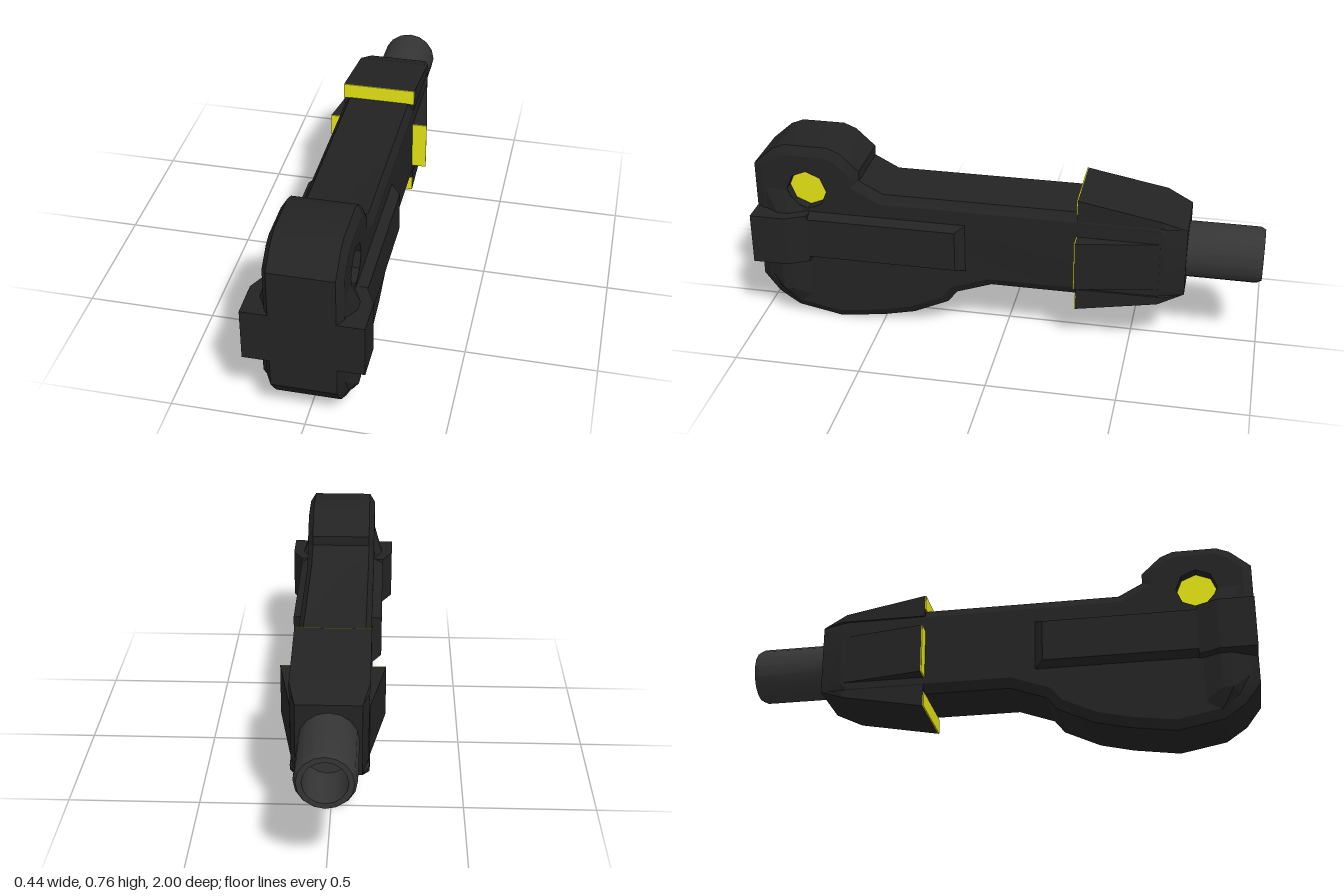
import * as THREE from 'three';
import { toCreasedNormals } from 'three/addons/utils/BufferGeometryUtils.js';
import { ConvexGeometry } from 'three/addons/geometries/ConvexGeometry.js';

const mat = (name, color) => {
  const m = new THREE.MeshStandardMaterial({ color });
  m.name = name;
  return m;
};

export function createModel() {
  const black = mat('black casing', 0x232323);
  const grey = mat('dark grey barrel', 0x353535);
  const yellow = mat('yellow accent', 0xe2e214);
  const group = new THREE.Group();

  const add = (name, geometry, material) => {
    const mesh = new THREE.Mesh(geometry, material);
    mesh.name = name;
    group.add(mesh);
    return mesh;
  };
  const hull = (pts) => new ConvexGeometry(pts.map((p) => new THREE.Vector3(...p)));

  // Casing: side outline (z, y) with an eyelet, bevelled across its width
  const eye = { z: 0.785, y: 0.58, r: 0.08 };
  const outline = [
    [1, 0.17], [1, 0.67], [0.92, 0.74], [0.87, 0.76], [0.70, 0.76], [0.65, 0.74],
    [0.575, 0.67], [0.575, 0.63], [0.48, 0.58], [-0.61, 0.58], [-0.71, 0.54],
    [-0.71, 0.26], [-0.61, 0.22], [0.05, 0.22], [0.19, 0.17], [0.23, 0.12],
    [0.37, 0.055], [0.5, 0.025], [0.68, 0], [0.86, 0.035], [0.94, 0.09],
  ].map(([z, y]) => new THREE.Vector2(z, y));
  const shape = new THREE.Shape(outline);
  const ring = [];
  for (let i = 0; i < 8; i++) {
    const a = (i / 8) * Math.PI * 2;
    ring.push(new THREE.Vector2(eye.z + eye.r * Math.cos(a), eye.y + eye.r * Math.sin(a)));
  }
  shape.holes.push(new THREE.Path(ring));
  const casing = new THREE.ExtrudeGeometry(shape, {
    depth: 0.24, bevelEnabled: true, bevelThickness: 0.022,
    bevelSize: 0.035, bevelOffset: -0.035, bevelSegments: 1,
  });
  casing.translate(0, 0, -0.12).rotateY(-Math.PI / 2);
  // The bevel moves material inwards: keep the eyelet straight, lengthen the rear taper
  const pos = casing.attributes.position;
  for (let i = 0; i < pos.count; i++) {
    const dz = pos.getZ(i) - eye.z, dy = pos.getY(i) - eye.y, d = Math.hypot(dz, dy);
    if (d < 0.125) {
      pos.setZ(i, eye.z + (dz / d) * eye.r);
      pos.setY(i, eye.y + (dy / d) * eye.r);
    } else if (Math.abs(pos.getX(i)) > 0.13 && pos.getZ(i) < -0.65) {
      pos.setZ(i, -0.63);
    }
  }
  casing.deleteAttribute('normal');
  casing.clearGroups();
  add('casing', toCreasedNormals(casing, 0.5), black);

  // Yellow core recessed in the eyelet
  const core = new THREE.CylinderGeometry(eye.r, eye.r, 0.2, 8).rotateY(Math.PI / 2).rotateZ(Math.PI / 2);
  add('eyeletCore', core.translate(0, eye.y, eye.z), yellow);

  for (const s of [1, -1]) {
    const side = s > 0 ? 'left' : 'right';

    // Long bevelled side rail
    const rail = [];
    for (const y of [0.28, 0.49]) for (const z of [0.145, 0.92]) rail.push([s * 0.135, y, z]);
    for (const y of [0.302, 0.468]) for (const z of [0.185, 0.88]) rail.push([s * 0.18, y, z]);
    add(side + 'Rail', hull(rail), black);

    // Flared block at the front end of the rail
    const block = [];
    for (const y of [0.28, 0.485])
      for (const [x, z] of [[0.1, 1], [0.22, 1], [0.22, 0.86], [0.18, 0.78], [0.1, 0.78]])
        block.push([s * x, y, z]);
    add(side + 'FrontBlock', hull(block), black);

    // Cheek swelling near the front
    const cheek = [
      [0.14, 0.58, 0.88], [0.14, 0.58, 0.96], [0.14, 0.48, 0.79], [0.14, 0.1, 0.79],
      [0.14, 0.06, 0.85], [0.14, 0.12, 0.92], [0.14, 0.2, 0.965],
    ];
    for (const y of [0.14, 0.48]) for (const z of [0.86, 0.9]) cheek.push([0.175, y, z]);
    add(side + 'Cheek', hull(cheek.map(([x, y, z]) => [s * x, y, z])), black);

    // Side fin, tapering to the rear, with a yellow front face
    const fin = [];
    for (const y of [0.283, 0.483])
      for (const [x, z] of [[0.12, -0.29], [0.2, -0.29], [0.144, -0.61], [0.12, -0.61]])
        fin.push([s * x, y, z]);
    add(side + 'Fin', hull(fin), black);
    const plate = new THREE.BoxGeometry(0.06, 0.2, 0.004);
    add(side + 'FinFace', plate.translate(s * 0.17, 0.383, -0.288), yellow);

    // Upper and lower fins
    const level = s > 0 ? 'upper' : 'lower';
    const wedge = [];
    for (const x of [-0.145, 0.145])
      for (const [h, z] of [[0.15, -0.29], [0.24, -0.29], [0.181, -0.61], [0.15, -0.63]])
        wedge.push([x, 0.4 + s * h, z]);
    for (const x of [-0.12, 0.12]) wedge.push([x, 0.4 + s * 0.14, -0.71]);
    add(level + 'Fin', hull(wedge), black);
    const face = new THREE.BoxGeometry(0.29, 0.06, 0.004);
    add(level + 'FinFace', face.translate(0, 0.4 + s * 0.21, -0.288), yellow);
  }

  // Hollow barrel at the rear: outer wall, chamfered lip, bore and bore floor
  const profile = [[0.11, 0], [0.11, 0.28], [0.1, 0.3], [0.08, 0.3], [0.08, 0.1], [0, 0.1]];
  const barrel = new THREE.LatheGeometry(profile.map(([r, h]) => new THREE.Vector2(r, h)), 16);
  barrel.deleteAttribute('normal');
  barrel.rotateX(-Math.PI / 2).translate(0, 0.4, -0.7);
  const barrelMesh = add('barrel', toCreasedNormals(barrel, 0.5), grey);
  barrelMesh.material.side = THREE.DoubleSide;

  return group;
}
